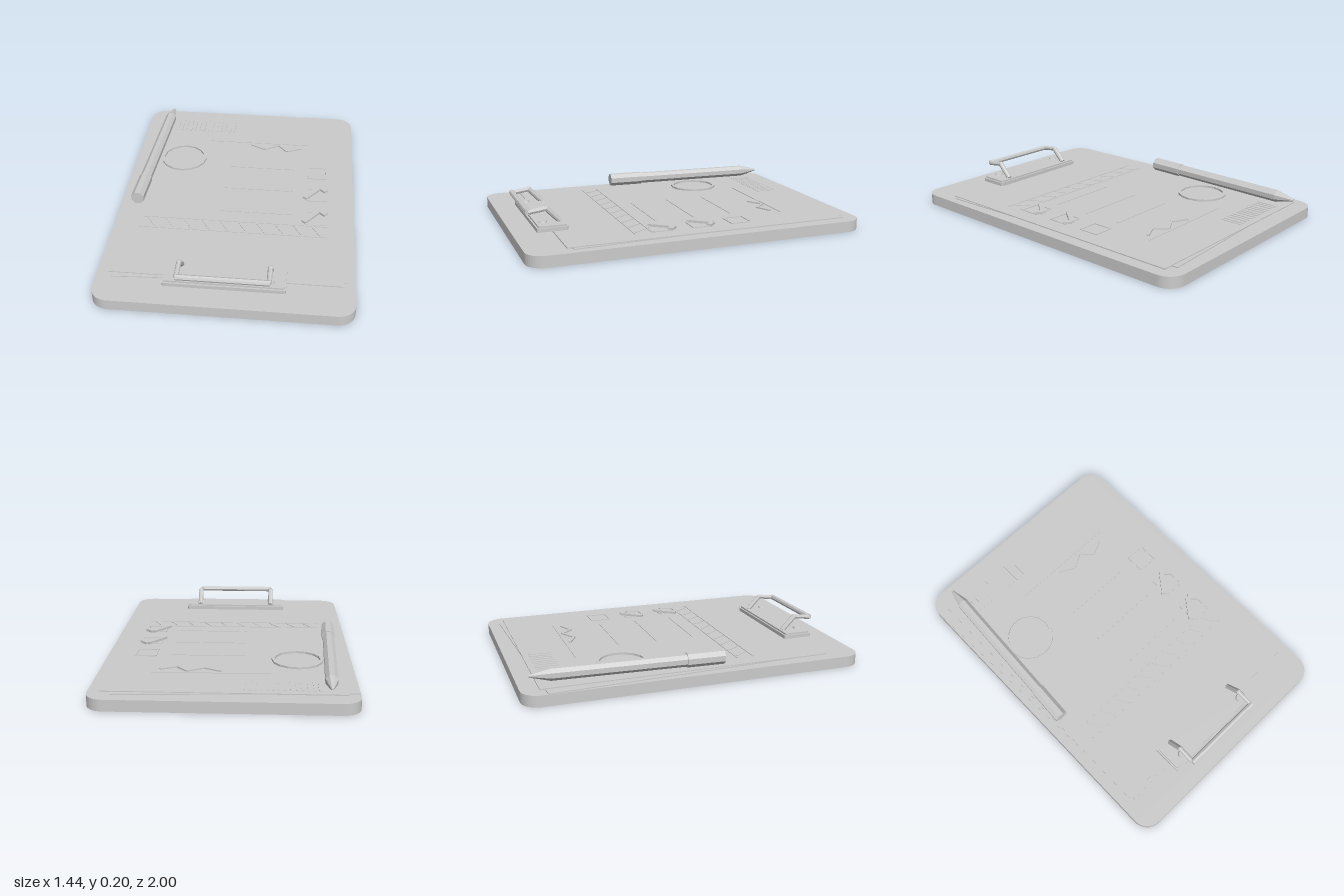
import * as THREE from 'three';

const grey = new THREE.MeshStandardMaterial({ color: 0xcccccc, flatShading: true });
const PAPER = 0.075; // height of the top sheet's face

function add(parent, name, geometry, x = 0, y = 0, z = 0) {
  const mesh = new THREE.Mesh(geometry, grey);
  mesh.name = name;
  mesh.position.set(x, y, z);
  parent.add(mesh);
  return mesh;
}

// Rounded rectangle extruded upward from y = 0
function slab(w, d, r, h, segments = 5) {
  const a = w / 2, b = d / 2, s = new THREE.Shape();
  s.moveTo(a, b - r);
  s.absarc(a - r, b - r, r, 0, Math.PI / 2);
  s.absarc(r - a, b - r, r, Math.PI / 2, Math.PI);
  s.absarc(r - a, r - b, r, Math.PI, Math.PI * 1.5);
  s.absarc(a - r, r - b, r, Math.PI * 1.5, Math.PI * 2);
  return new THREE.ExtrudeGeometry(s, { depth: h, bevelEnabled: false, curveSegments: segments }).rotateX(-Math.PI / 2);
}

// Thin raised stroke lying on the paper between two (x, z) points
function stroke(parent, name, [x1, z1], [x2, z2], width, height) {
  const dx = x2 - x1, dz = z2 - z1;
  const geometry = new THREE.BoxGeometry(Math.hypot(dx, dz), height, width);
  const m = add(parent, name, geometry, (x1 + x2) / 2, PAPER + height / 2, (z1 + z2) / 2);
  m.rotation.y = -Math.atan2(dz, dx);
}

function polyline(parent, name, points, width, height) {
  for (let i = 1; i < points.length; i++) stroke(parent, name, points[i - 1], points[i], width, height);
}

function group(parent, name) {
  const g = new THREE.Group();
  g.name = name;
  parent.add(g);
  return g;
}

// Round bar between two points
function rod(parent, name, a, b, radius) {
  const from = new THREE.Vector3(...a), dir = new THREE.Vector3(...b).sub(from);
  const m = add(parent, name, new THREE.CylinderGeometry(radius, radius, dir.length(), 8));
  m.position.copy(from).addScaledVector(dir, 0.5);
  m.quaternion.setFromUnitVectors(new THREE.Vector3(0, 1, 0), dir.normalize());
}

export function createModel() {
  const model = new THREE.Group();
  model.name = 'clipboard';

  add(model, 'board', slab(1.44, 2, 0.1, 0.065));

  // Two sheets, the lower one turned slightly askew
  const lower = add(model, 'lowerSheet', new THREE.BoxGeometry(1.31, 0.006, 1.68), -0.022, 0.067, -0.06);
  lower.rotation.y = 0.05;
  add(model, 'topSheet', new THREE.BoxGeometry(1.31, 0.006, 1.68), 0, PAPER - 0.003, -0.06);

  // Striped band across the head of the page
  const band = group(model, 'headerBand');
  for (const z of [0.27, 0.37]) stroke(band, 'bandRule', [-0.56, z], [0.56, z], 0.01, 0.003);
  for (let i = 0; i < 10; i++) {
    const x = -0.5 + i * 0.11;
    stroke(band, 'bandStripe', [x - 0.02, 0.28], [x + 0.03, 0.36], 0.012, 0.003);
  }

  // Checklist rows: box and blank entry line, the first two ticked
  const list = group(model, 'checklist');
  [0.2, -0.04, -0.28].forEach((z, i) => {
    const box = [[0.43, z - 0.06], [0.55, z - 0.06], [0.55, z + 0.06], [0.43, z + 0.06], [0.43, z - 0.06]];
    polyline(list, 'checkBox', box, 0.01, 0.004);
    stroke(list, 'entryLine', [-0.1, z - 0.03], [0.34, z - 0.03], 0.012, 0.003);
    if (i < 2) polyline(list, 'tick', [[0.415, z + 0.045], [0.51, z - 0.075], [0.55, z - 0.035]], 0.03, 0.014);
  });

  // Signature squiggle over its rule
  const squiggle = [[0.03, -0.585], [0.125, -0.535], [0.22, -0.59], [0.28, -0.52], [0.375, -0.565]];
  polyline(model, 'signature', squiggle, 0.016, 0.008);
  stroke(model, 'signatureRule', [-0.25, -0.61], [0.42, -0.61], 0.008, 0.003);

  // Row of bars near the foot of the page
  const bars = group(model, 'barStrip');
  for (let i = 0; i < 14; i++) {
    const x = -0.51 + i * 0.031;
    stroke(bars, 'bar', [x, -0.86], [x, -0.73], i % 3 ? 0.009 : 0.016, 0.003);
  }

  // Stamped ring
  const ring = [[0.133, 0], [0.15, 0], [0.15, 0.012], [0.133, 0.012], [0.133, 0]].map(p => new THREE.Vector2(...p));
  add(model, 'stampRing', new THREE.LatheGeometry(ring, 16), -0.405, PAPER, -0.38);

  // Clip: stepped plate, rivets and bent wire handle
  const clip = group(model, 'clip');
  add(clip, 'clipPlate', slab(0.68, 0.18, 0.012, 0.022, 2), 0, 0.076, 0.78);
  add(clip, 'clipPlateTop', slab(0.66, 0.16, 0.008, 0.01, 2), 0, 0.098, 0.78);
  for (const s of [-1, 1]) {
    const x = s * 0.25;
    add(clip, 'rivet', new THREE.CylinderGeometry(0.022, 0.027, 0.012, 10), x, 0.113, 0.82);
    rod(clip, 'handleArm', [x, 0.108, 0.718], [x, 0.188, 0.795], 0.016);
    rod(clip, 'handleArm', [x, 0.188, 0.795], [x, 0.174, 0.9], 0.014);
    add(clip, 'handleElbow', new THREE.SphereGeometry(0.016, 8, 6), x, 0.188, 0.795);
  }
  rod(clip, 'handleBar', [-0.255, 0.176, 0.9], [0.255, 0.176, 0.9], 0.017);

  // Pencil lying along the side, tip towards the back
  const pencil = group(model, 'pencil');
  pencil.position.set(-0.616, 0.119, 0.155);
  pencil.rotation.y = -0.048;
  const section = (name, rTip, rEnd, from, to) => add(pencil, name,
    new THREE.CylinderGeometry(rTip, rEnd, to - from, 8).rotateY(Math.PI / 8).rotateX(-Math.PI / 2), 0, 0, -(from + to) / 2);
  section('pencilCap', 0.042, 0.042, 0, 0.22);
  section('pencilBody', 0.037, 0.037, 0.22, 0.98);
  section('pencilCone', 0.014, 0.037, 0.98, 1.07);
  section('pencilTip', 0.006, 0.014, 1.07, 1.095);

  return model;
}
